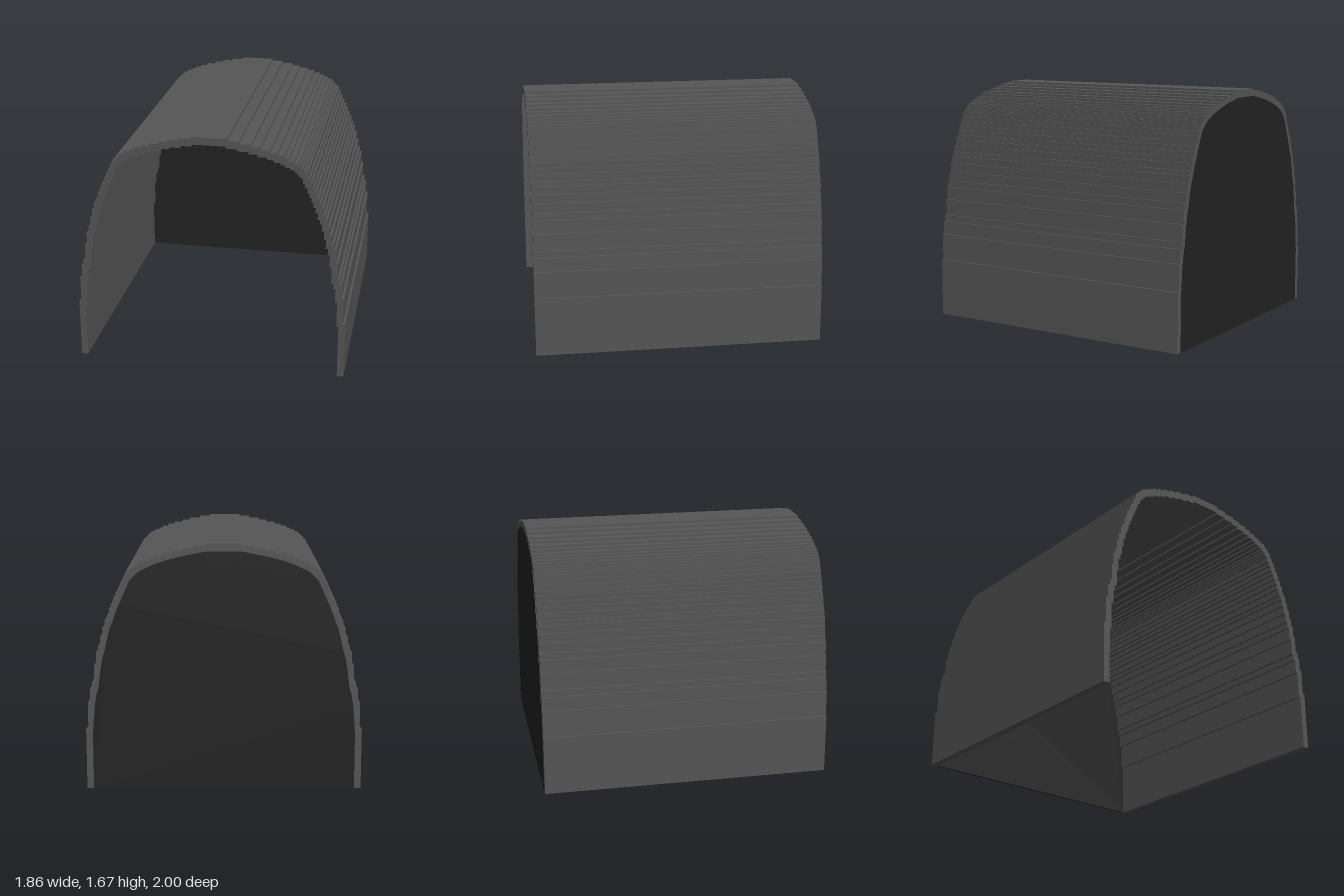
import * as THREE from 'three';

// Outer step corners, from the foot of the wall up to the crown
const STEP_TOPS = [
  0.41, 0.595, 0.69, 0.735, 0.85, 0.94, 0.985, 1.05, 1.11, 1.16, 1.19, 1.237, 1.275, 1.31, 1.345, 1.375,
  1.41, 1.44, 1.475, 1.49, 1.505, 1.52, 1.535, 1.55, 1.565, 1.58, 1.597, 1.613, 1.63, 1.645, 1.66, 1.675];
const CROWN_X = [0.595, 0.565, 0.53, 0.5, 0.455, 0.405, 0.34, 0.28, 0.2, 0.12];
const WALL_STEPS = STEP_TOPS.length - CROWN_X.length;

// Step corners at depth t through the shell: 0 = outside, 1 = inside
function corners(t) {
  return STEP_TOPS.map((y, i) => {
    const x = i < WALL_STEPS ? 0.932 - 0.0153 * i : CROWN_X[i - WALL_STEPS];
    return new THREE.Vector2(x * (1 - 0.049 * t), y - t * (0.03 + 0.022 * i / STEP_TOPS.length));
  });
}

// Mirror a right-hand outline into a whole arch, from +x foot to -x foot
function mirrored(half) {
  return [...half, ...half.map(p => new THREE.Vector2(-p.x, p.y)).reverse()];
}

// Staircase outline of the arch
function staircase(t) {
  const half = [];
  let y = 0;
  for (const c of corners(t)) {
    half.push(new THREE.Vector2(c.x, y), c);
    y = c.y;
  }
  return mirrored(half);
}

function extrude(points, z0, z1) {
  const geometry = new THREE.ExtrudeGeometry(new THREE.Shape(points), { depth: z1 - z0, bevelEnabled: false });
  return geometry.translate(0, 0, z0);
}

export function createModel() {
  const group = new THREE.Group();
  group.name = 'archedShelter';
  const shellGrey = new THREE.MeshStandardMaterial({ name: 'shellGrey', color: 0x555555 });
  const panelBlack = new THREE.MeshStandardMaterial({ name: 'panelBlack', color: 0x222222 });

  // Three nested stepped layers make the arched shell
  const layers = 3;
  for (let i = 0; i < layers; i++) {
    const outline = [...staircase(i / layers), ...staircase((i + 1) / layers).reverse()];
    const layer = new THREE.Mesh(extrude(outline, -0.997, 1), shellGrey);
    layer.name = `shellLayer${i + 1}`;
    group.add(layer);
  }

  // Smooth-edged panel closing the back
  const inner = [new THREE.Vector2(corners(1)[0].x, 0), ...corners(1)];
  const panel = new THREE.Mesh(extrude(mirrored(inner), -1, -0.985), panelBlack);
  panel.name = 'backPanel';
  group.add(panel);

  return group;
}
